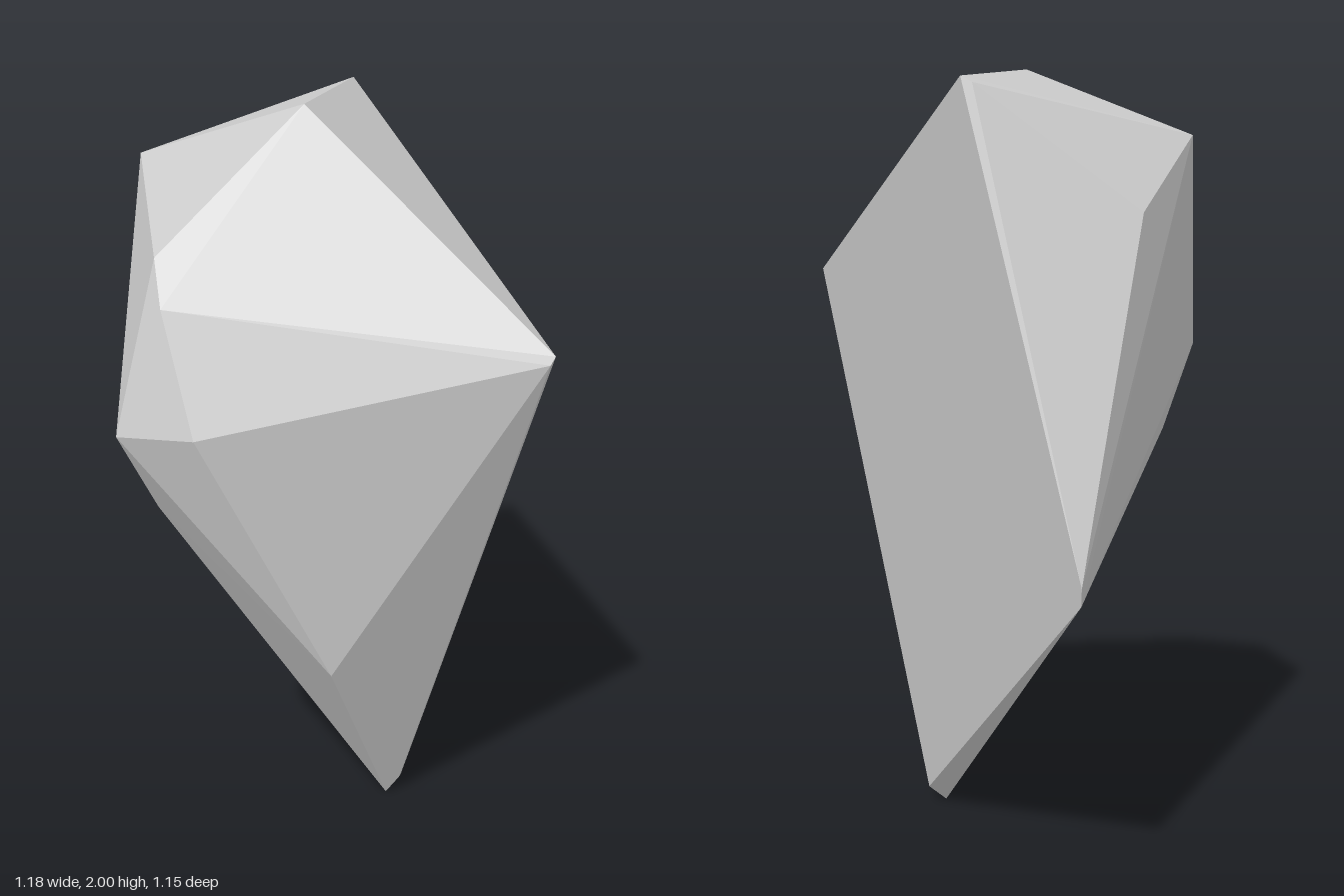
import * as THREE from 'three';
import { ConvexGeometry } from 'three/addons/geometries/ConvexGeometry.js';

export function createModel() {
  const group = new THREE.Group();
  group.name = 'rock';

  // Corners of the faceted, convex stone
  const corners = [
    // crown
    [-0.08, 2, 0.12], [-0.565, 1.83, 0.085], [-0.57, 1.65, -0.22],
    [-0.195, 1.965, -0.435], [-0.225, 1.95, -0.432],
    // front ridge
    [-0.33, 1.67, 0.44], [-0.29, 1.56, 0.49], [-0.38, 1.25, 0.575],
    [-0.18, 1.26, 0.55], [-0.345, 1.02, 0.45], [0.07, 0.55, 0.31],
    // side point
    [0.588, 1.455, 0.142], [0.58, 1.435, 0.155],
    // rear corner
    [-0.59, 0.82, -0.578], [-0.585, 0.775, -0.57],
    // foot
    [0.09, 0, -0.02], [0.12, 0.045, -0.062], [0.125, 0.05, -0.035],
  ].map((p) => new THREE.Vector3(...p));

  const stone = new THREE.Mesh(
    new ConvexGeometry(corners),
    new THREE.MeshStandardMaterial({ color: 0xcccccc, flatShading: true })
  );
  stone.name = 'stone';
  group.add(stone);
  return group;
}
